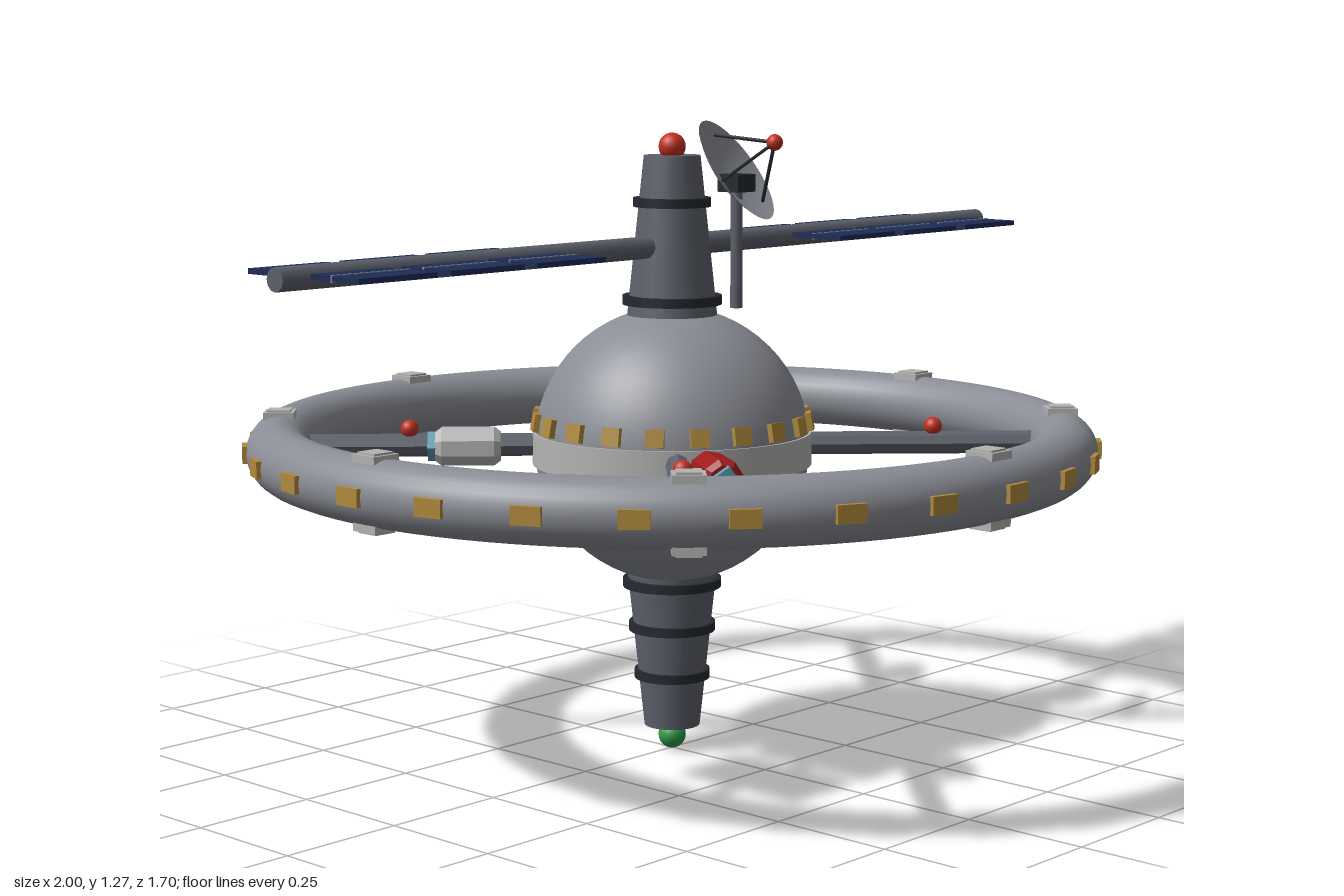
import * as THREE from 'three';

const mat = (color, side = THREE.FrontSide, flatShading = false) =>
  new THREE.MeshStandardMaterial({ color, side, flatShading });
const M = {
  hull: mat(0x8a8d95), frame: mat(0x5d616b), frameFlat: mat(0x5d616b, THREE.FrontSide, true),
  dark: mat(0x25282f), light: mat(0xb4b4b2), gold: mat(0xb08a3c), red: mat(0xc03020),
  green: mat(0x2f9c48), panel: mat(0x1d2b55), line: mat(0x7f8794), glass: mat(0x5f9db5),
  dish: mat(0x8a8d95, THREE.DoubleSide),
};
const CY = 0.625; // height of the ring and hub centre
const RING = 0.78;
const UP = new THREE.Vector3(0, 1, 0);

export function createModel() {
  const root = new THREE.Group();
  root.name = 'spaceStation';

  const add = (name, geo, material, x = 0, y = 0, z = 0, parent = root) => {
    const m = new THREE.Mesh(geo, material);
    m.name = name;
    m.position.set(x, y, z);
    parent.add(m);
    return m;
  };
  const ball = (name, r, material, x, y, z) =>
    add(name, new THREE.SphereGeometry(r, 20, 14), material, x, y, z);
  const rod = (name, a, b, r, material, sides = 8) => {
    const d = b.clone().sub(a), p = a.clone().add(b).multiplyScalar(0.5);
    const m = add(name, new THREE.CylinderGeometry(r, r, d.length(), sides), material, p.x, p.y, p.z);
    m.quaternion.setFromUnitVectors(UP, d.normalize());
    return m;
  };
  // Copies of a box set around the vertical axis, facing outwards
  const around = (name, n, radius, y, size, material, tilt = 0) => {
    const geo = new THREE.BoxGeometry(...size);
    for (let i = 0; i < n; i++) {
      const a = (i / n) * Math.PI * 2;
      const m = add(name, geo, material, Math.sin(a) * radius, y, Math.cos(a) * radius);
      m.rotation.set(tilt, a, 0, 'YXZ');
    }
  };

  // Hub sphere with equator band and windows
  add('hub', new THREE.SphereGeometry(0.275, 48, 32), M.hull, 0, CY, 0);
  add('hubBand', new THREE.CylinderGeometry(0.279, 0.279, 0.065, 48), M.light, 0, CY - 0.005, 0);
  around('hubWindow', 20, 0.271, 0.675, [0.036, 0.036, 0.02], M.gold, -0.18);

  // Habitat ring with windows and hatches
  const ring = add('habitatRing', new THREE.TorusGeometry(RING, 0.063, 24, 96), M.hull, 0, CY, 0);
  ring.rotation.x = Math.PI / 2;
  around('ringWindow', 28, RING + 0.06, CY, [0.056, 0.034, 0.02], M.gold);
  for (const s of [-1, 1]) {
    around('ringHatch', 8, RING, CY + s * 0.059, [0.06, 0.022, 0.06], M.light);
    around('hatchCover', 8, RING, CY + s * 0.067, [0.046, 0.014, 0.046], M.light);
  }

  // Four spokes with red lamps
  for (const sx of [-1, 1]) for (const sz of [-1, 1]) {
    const at = (r) => new THREE.Vector3(sx * r * Math.SQRT1_2, CY, sz * r * Math.SQRT1_2);
    rod('spoke', at(0.25), at(0.74), 0.023, M.frameFlat);
    ball('spokeLamp', 0.018, M.red, sx * 0.37, CY + 0.033, sz * 0.37);
  }

  // Upper and lower towers with dark collars and end beacons
  add('upperTower', new THREE.CylinderGeometry(0.056, 0.09, 0.32, 24), M.frame, 0, 1.04, 0);
  add('lowerTower', new THREE.CylinderGeometry(0.09, 0.056, 0.32, 24), M.frame, 0, 0.21, 0);
  for (const [y, r] of [[0.915, 0.099], [1.108, 0.077], [0.345, 0.099], [0.255, 0.087], [0.157, 0.076]])
    add('towerCollar', new THREE.CylinderGeometry(r, r, 0.018, 32), M.dark, 0, y, 0);
  ball('topBeacon', 0.027, M.red, 0, 1.217, 0);
  ball('bottomBeacon', 0.028, M.green, 0, 0.028, 0);

  // Solar boom and panels
  rod('solarBoom', new THREE.Vector3(-1, 1.022, 0), new THREE.Vector3(1, 1.022, 0), 0.022, M.frame, 12);
  const panelGeo = new THREE.BoxGeometry(0.178, 0.01, 0.138);
  const lineGeo = new THREE.BoxGeometry(0.178, 0.013, 0.005);
  for (const sx of [-1, 1]) for (const sz of [-1, 1]) for (const x of [0.43, 0.64, 0.85]) {
    add('solarPanel', panelGeo, M.panel, sx * x, 1.024, sz * 0.081);
    add('panelDivider', lineGeo, M.line, sx * x, 1.024, sz * 0.077);
  }

  // Dish antenna: mast, mount, tilted bowl, feed and struts
  rod('dishMast', new THREE.Vector3(0, 0.91, 0.17), new THREE.Vector3(0, 1.15, 0.17), 0.012, M.frame, 12);
  add('dishMount', new THREE.BoxGeometry(0.052, 0.034, 0.052), M.dark, 0, 1.152, 0.17);
  const dish = new THREE.Group();
  dish.name = 'dishAntenna';
  dish.position.set(0, 1.177, 0.17);
  dish.quaternion.setFromUnitVectors(UP, new THREE.Vector3(0.3, 0.57, 0.76).normalize());
  root.add(dish);
  const bowl = [];
  for (let i = 0; i <= 10; i++) bowl.push(new THREE.Vector2(0.0114 * i, 0.03 * ((i / 10) ** 2 - 1)));
  add('dishBowl', new THREE.LatheGeometry(bowl, 40), M.dish, 0, 0, 0, dish);
  const feed = new THREE.Vector3(0, 0.094, 0);
  add('dishFeed', new THREE.SphereGeometry(0.016, 16, 12), M.red, 0, feed.y, 0, dish);
  for (let i = 0; i < 3; i++) {
    const a = (i / 3) * Math.PI * 2 + 0.5;
    dish.add(rod('feedStrut', new THREE.Vector3(Math.cos(a) * 0.092, -0.01, Math.sin(a) * 0.092), feed, 0.0035, M.dark, 6));
  }

  // Docked shuttle pods: chamfered eight-sided bodies with a glass nose
  const profile = [[0, -0.065], [0.03, -0.065], [0.04, -0.052], [0.04, 0.052], [0.03, 0.065], [0, 0.065]]
    .map(([r, y]) => new THREE.Vector2(r, y));
  const bodyGeo = new THREE.LatheGeometry(profile, 8, Math.PI / 8);
  const pods = [
    [0.335, -0.23, 0.82, -0.57, 0xb8860b],
    [-0.23, 0.325, -0.55, 0.83, 0x9c1c1c],
    [-0.30, -0.275, -0.71, -0.71, 0xb8b8b8],
  ];
  for (const [x, z, dx, dz, color] of pods) {
    const pod = new THREE.Group();
    pod.name = 'shuttlePod';
    pod.position.set(x, CY, z);
    pod.quaternion.setFromUnitVectors(UP, new THREE.Vector3(dx, 0, dz).normalize());
    root.add(pod);
    add('podBody', bodyGeo, mat(color, THREE.FrontSide, true), 0, 0, 0, pod);
    add('podWindow', new THREE.BoxGeometry(0.042, 0.024, 0.042), M.glass, 0, 0.068, 0, pod);
  }
  return root;
}
